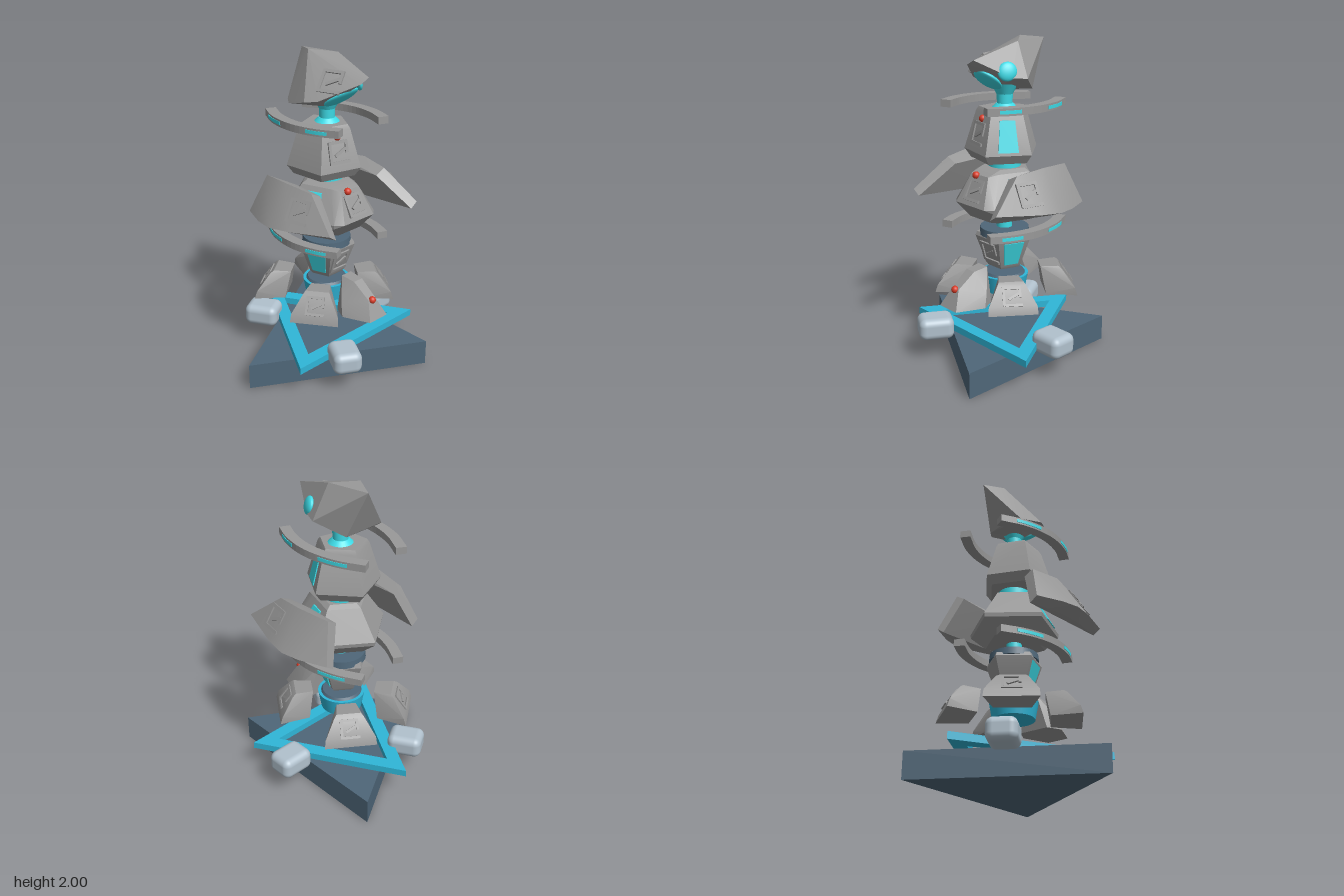
import * as THREE from 'three';
import { toCreasedNormals } from 'three/addons/utils/BufferGeometryUtils.js';
import { ConvexGeometry } from 'three/addons/geometries/ConvexGeometry.js';
import { RoundedBoxGeometry } from 'three/addons/geometries/RoundedBoxGeometry.js';

const V = (x, y, z) => new THREE.Vector3(x, y, z);
const DEG = Math.PI / 180;
const polar = (a, r, y, t = 0) => // t shifts along the tangent
  V(r * Math.cos(a) - t * Math.sin(a), y, r * Math.sin(a) + t * Math.cos(a));

export function createModel() {
  const mat = (name, color) => {
    const m = new THREE.MeshStandardMaterial({ color });
    m.name = name;
    return m;
  };
  const stone = mat('grey stone', 0x989898);
  const slate = mat('slate blue', 0x4f6779);
  const teal = mat('teal', 0x2fb6d8);
  const glow = mat('bright cyan', 0x40e2ee);
  const pale = mat('pale blue', 0xb1c1cd);
  const red = mat('red', 0xd83c28);

  const model = new THREE.Group();
  model.name = 'stoneTotem';
  const add = (name, geo, material, pos) => {
    const m = new THREE.Mesh(geo, material);
    m.name = name;
    if (pos) m.position.copy(pos);
    model.add(m);
    return m;
  };
  const hull = (name, pts, material = stone) =>
    add(name, toCreasedNormals(new ConvexGeometry(pts), 0.35), material);
  const drum = (name, rTop, rBottom, y0, y1, material) =>
    add(name, new THREE.CylinderGeometry(rTop, rBottom, y1 - y0, 32), material, V(0, (y0 + y1) / 2, 0));
  const gem = (p) => add('redGem', new THREE.SphereGeometry(0.023, 16, 12), red, p);

  // Flat shape in x, z pulled down from height 0
  const slab = (shape, depth) =>
    new THREE.ExtrudeGeometry(shape, { depth, bevelEnabled: false }).rotateX(Math.PI / 2);
  const triangle = (r, start) => [0, 1, 2].map((i) => {
    const a = (start + i * 120) * DEG;
    return new THREE.Vector2(r * Math.cos(a), r * Math.sin(a));
  });

  // Carved pattern: raised bars lying on a face with the given normal
  const carving = (pos, normal, size) => {
    const g = new THREE.Group();
    g.name = 'carving';
    g.position.copy(pos);
    g.lookAt(pos.clone().add(normal));
    const bars = [[-0.4, 0, 0.12, 0.9, 0], [0, 0.4, 0.8, 0.12, 0], [0.05, -0.4, 0.8, 0.12, 0],
      [0.05, 0, 0.55, 0.12, 0.5], [0.35, 0.15, 0.12, 0.4, 0]];
    for (const [x, y, w, h, tilt] of bars) {
      const b = new THREE.Mesh(new THREE.BoxGeometry(w * size, h * size, 0.016), stone);
      b.name = 'carvedBar';
      b.position.set(x * size, y * size, 0);
      b.rotation.z = tilt;
      g.add(b);
    }
    model.add(g);
  };

  // Plinth, triangular frame and three rounded blocks
  add('plinth', slab(new THREE.Shape(triangle(0.666, 90)), 0.165), slate, V(0.003, 0.165, 0));
  const frame = new THREE.Shape(triangle(0.585, 60));
  frame.holes.push(new THREE.Path(triangle(0.42, 60)));
  add('triangleFrame', slab(frame, 0.044), teal, V(0.004, 0.212, 0));
  for (const a of [30, 150, 270]) {
    const b = add('roundedBlock', new RoundedBoxGeometry(0.22, 0.14, 0.18, 5, 0.045), pale,
      polar(a * DEG, 0.44, 0.21).add(V(0.005, 0, 0)));
    b.rotation.y = -a * DEG;
  }

  // Leading foot stone with a pointed nose, then four carved foot stones
  const sides = (a, profile) => profile.flatMap(([r, y, t]) => [polar(a, r, y, t), polar(a, r, y, -t)]);
  hull('leadFootStone', sides(0, [[0.46, 0.42, 0.075], [0.4, 0.535, 0.03], [0.29, 0.42, 0.145],
    [0.26, 0.5, 0.125], [0.28, 0.62, 0.035], [0.18, 0.63, 0.04], [0.2, 0.42, 0.1]]));
  gem(V(0.403, 0.53, 0));
  for (const [angle, r, w] of [[55, 0.41, 0.15], [144, 0.44, 0.16], [216, 0.44, 0.16], [305, 0.41, 0.15]]) {
    const a = angle * DEG;
    hull('footStone', sides(a, [[r, 0.42, w], [r - 0.015, 0.47, w * 0.97], [r - 0.09, 0.575, w * 0.57],
      [r - 0.11, 0.59, 0.075], [r - 0.22, 0.585, 0.06], [r - 0.19, 0.42, 0.11]]));
    carving(polar(a, r - 0.05, 0.52), polar(a, 0.81, 0.58), 0.13);
  }
  drum('footCore', 0.15, 0.13, 0.43, 0.54, teal);
  drum('footCoreLid', 0.12, 0.13, 0.54, 0.555, slate);

  // Five-sided body blocks; profile is [y, radius], turn is the angle of the carved face.
  // extra adds corners to the carved face, bulge is how far they push it out.
  const block = (name, profile, turn, windows, lo, hi, winWidth, span, extra = [], bulge = 0, shift = 0) => {
    const place = (a, r, y, t) => polar(a, r, y, t).add(V(0, 0, shift));
    hull(name, [...extra, ...profile.flatMap(([y, r]) =>
      [0, 1, 2, 3, 4].map((i) => place((turn + 36 + i * 72) * DEG, r, y)))]);
    const [y0, r0] = lo, [y1, r1] = hi;
    const apothem = Math.cos(36 * DEG), half = Math.sin(36 * DEG);
    const at = (f) => [y0 + (y1 - y0) * f, r0 + (r1 - r0) * f];
    for (const w of windows) {
      const a = (turn + w) * DEG, pts = [];
      for (const f of span) {
        const [y, r] = at(f);
        for (const s of [-1, 1]) for (const out of [-0.002, 0.007])
          pts.push(place(a, r * apothem + out, y, s * r * half * winWidth));
      }
      hull('window', pts, glow);
    }
    const [ym, rm] = at(0.48);
    const slope = (r0 - r1) * apothem / (y1 - y0);
    carving(place(turn * DEG, rm * apothem + 0.002 + bulge, ym), polar(turn * DEG, 1, slope), 0.15);
  };
  block('waistBlock', [[0.59, 0.1], [0.61, 0.115], [0.79, 0.18], [0.815, 0.17]], 0, [72, 288],
    [0.61, 0.115], [0.79, 0.18], 0.65, [0.06, 0.9]);
  drum('waistCollar', 0.15, 0.155, 0.8, 0.845, slate);
  drum('waistSpine', 0.048, 0.048, 0.84, 0.93, glow);
  const chestFront = [-1, 1].flatMap((s) => [V(0.2, 0.93, s * 0.09), V(0.28, 1.03, s * 0.125), V(0.2, 1.205, s * 0.075)]);
  block('chestBlock', [[0.92, 0.19], [1.005, 0.29], [1.03, 0.295], [1.215, 0.17], [1.235, 0.135]], 0, [72, 288],
    [1.03, 0.295], [1.215, 0.17], 0.42, [0, 0.84], chestFront, 0.05);
  gem(V(0.205, 1.2, 0.027));
  drum('chestSpine', 0.1, 0.1, 1.22, 1.29, glow);
  block('upperBlock', [[1.275, 0.195], [1.33, 0.235], [1.565, 0.162], [1.59, 0.145]], 14, [288],
    [1.33, 0.235], [1.565, 0.162], 0.45, [0.08, 0.86], [], 0, 0.016);
  gem(polar(20 * DEG, 0.14, 1.53));
  drum('neckBase', 0.05, 0.08, 1.585, 1.615, glow);
  drum('neck', 0.05, 0.046, 1.6, 1.7, glow);
  drum('neckFlare', 0.085, 0.05, 1.67, 1.74, glow);

  // Curved bands in front and behind, each with two glowing slots
  const path = new THREE.CatmullRomCurve3([V(-0.345, 0, 0.125), V(-0.19, 0, 0.205),
    V(0, 0, 0.243), V(0.17, 0, 0.22), V(0.3, 0, 0.165)]);
  const ribbon = (t0, t1, inner, outer, side) => {
    const edge = (off) => Array.from({ length: 21 }, (_, i) => {
      const t = t0 + (t1 - t0) * i / 20, p = path.getPoint(t), d = path.getTangent(t);
      return new THREE.Vector2(p.x - d.z * off, (p.z + d.x * off) * side);
    });
    return new THREE.Shape([...edge(inner), ...edge(outer).reverse()]);
  };
  for (const [y, side, shift] of [[0.888, 1, 0.028], [0.888, -1, -0.025], [1.635, 1, 0.022], [1.635, -1, -0.004]]) {
    const tilted = (name, shape, depth, drop, material) => {
      add(name, slab(shape, depth), material, V(0, y - drop, shift)).rotation.z = 0.03;
    };
    tilted('curvedBand', ribbon(0, 1, -0.034, 0.032, side), 0.044, 0, stone);
    for (const [t0, t1] of [[0.15, 0.38], [0.66, 0.87]])
      tilted('bandSlot', ribbon(t0, t1, 0.03, 0.035, side), 0.02, 0.012, glow);
  }

  // Leaning shoulder plates, mirrored front to back; last number is the thickness
  const rim = [[-0.285, 1.03, 0.385, 0.05], [-0.12, 1.035, 0.455, 0.075], [0, 1.04, 0.48, 0.085],
    [0.14, 1.052, 0.458, 0.075], [0.41, 1.08, 0.375, 0.05],
    [-0.21, 1.265, 0.3, 0.06], [0, 1.28, 0.335, 0.085], [0.19, 1.26, 0.31, 0.07]];
  for (const s of [1, -1]) {
    hull('shoulderPlate', rim.flatMap(([x, y, z, d]) => [V(x, y, z * s), V(x, y - 0.034, (z - d) * s)]));
    carving(V(0.16, 1.16, 0.382 * s), V(0.165, 0.508, 0.847 * s), 0.16);
  }

  // Tilted faceted head with glowing lenses
  hull('head', [[-0.27, 1.985, -0.05], [-0.14, 2, 0.02], [-0.01, 1.985, -0.1], [0.285, 1.895, -0.05],
    [0.28, 1.865, 0.01], [0.1, 1.76, 0.17], [0.02, 1.745, 0.205], [-0.15, 1.7, 0.17], [-0.175, 1.72, 0.155],
    [0.03, 1.69, 0.04], [-0.14, 1.695, -0.09], [0.01, 1.78, -0.205], [0.1, 1.79, -0.17]].map((p) => V(...p)));
  carving(V(0.11, 1.86, 0.074), V(0.223, 0.66, 0.717), 0.16);
  const lens = (p, normal, rx, ry) => {
    const m = add('lens', new THREE.SphereGeometry(1, 24, 16).scale(rx, ry, 0.025), glow, p);
    m.quaternion.setFromUnitVectors(V(0, 0, 1), normal.normalize());
  };
  lens(V(0.125, 1.762, 0.01), V(0.6, -0.8, 0), 0.11, 0.09);
  lens(V(0.11, 1.825, -0.14), V(0.45, 0.25, -0.85), 0.055, 0.058);

  // Everything shares one vertical axis set slightly back
  const root = new THREE.Group();
  root.name = 'totem';
  model.position.z = -0.057;
  root.add(model);
  return root;
}
